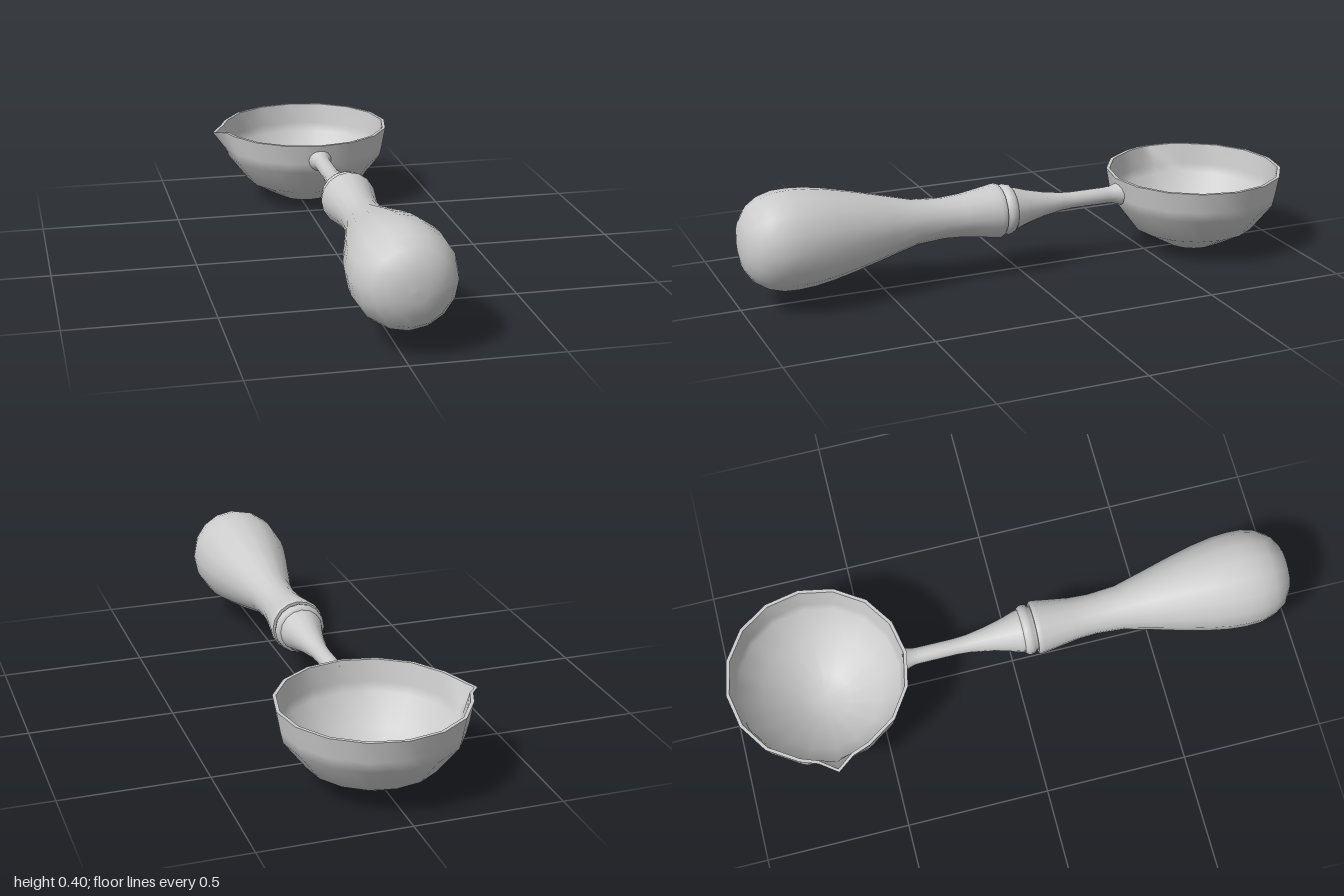
import * as THREE from 'three';
import { mergeVertices } from 'three/addons/utils/BufferGeometryUtils.js';

const material = new THREE.MeshStandardMaterial({ color: 0xcccccc });
const AXIS_X = 0.02, AXIS_Y = 0.235, BOWL_Z = -0.685;
const RIM_Y = 0.293, WALL = 0.012;

const vectors = (pairs) => pairs.map(([r, y]) => new THREE.Vector2(r, y));

// Turned part along z; profile is [radius, z], from back to front
function turned(name, profile) {
  const geometry = new THREE.LatheGeometry(vectors(profile), 16);
  geometry.rotateX(Math.PI / 2);
  const mesh = new THREE.Mesh(geometry, material);
  mesh.name = name;
  mesh.position.set(AXIS_X, AXIS_Y, 0);
  return mesh;
}

// Sixteen-sided bowl surface with a small pouring lip pulled out towards -x
function bowlSurface(name, profile) {
  const rows = profile.length;
  let geometry = new THREE.LatheGeometry(vectors(profile), 32);
  const p = geometry.attributes.position;
  for (let i = 0; i < p.count; i++) {
    const column = Math.floor(i / rows);
    // odd columns lie in the middle of a flat side
    const flat = column % 2 ? Math.cos(Math.PI / 16) : 1;
    let x = p.getX(i) * flat, y = p.getY(i);
    const z = p.getZ(i) * flat;
    const t = Math.pow(Math.max(0, (y - 0.183) / 0.11), 1.6);
    const offset = Math.abs(column - 24);
    if (offset === 0) {
      x -= 0.04 * t;
      y -= 0.013 * t;
    } else if (offset === 1) {
      x -= 0.01 * t;
    }
    p.setXYZ(i, x, y, z);
  }
  geometry.deleteAttribute('uv');
  geometry.deleteAttribute('normal');
  geometry = mergeVertices(geometry, 1e-4);
  geometry.computeVertexNormals();
  const mesh = new THREE.Mesh(geometry, material);
  mesh.name = name;
  return mesh;
}

export function createModel() {
  const model = new THREE.Group();
  model.name = 'ladle';

  // Bowl: outer wall, inner wall and the thin rim joining them
  const outer = [[0, 0.002], [0.097, 0.017], [0.22, 0.085], [0.295, 0.183], [0.303, 0.22], [0.316, RIM_Y]];
  const inner = [[0.316 - WALL, RIM_Y], [0.291, 0.22], [0.283, 0.187], [0.212, 0.095], [0.093, 0.029], [0, 0.014]];
  const bowl = new THREE.Group();
  bowl.name = 'bowl';
  bowl.position.set(AXIS_X, 0, BOWL_Z);
  bowl.add(
    bowlSurface('bowlOutside', outer),
    bowlSurface('bowlInside', inner),
    bowlSurface('bowlRim', [[0.316, RIM_Y], [0.316 - WALL, RIM_Y]])
  );
  model.add(bowl);

  // Shank: flared foot at the bowl, thin rod, then widening to the collar
  model.add(turned('shank', [
    [0.042, -0.386], [0.036, -0.37], [0.03, -0.35], [0.029, -0.33], [0.029, -0.2], [0.032, -0.155],
    [0.044, -0.085], [0.06, -0.02], [0.073, 0.02], [0.077, 0.04]
  ]));

  // Collar bead
  model.add(turned('collar', [
    [0.07, 0.034], [0.08, 0.036], [0.087, 0.044], [0.089, 0.056], [0.086, 0.068], [0.079, 0.075], [0.079, 0.084]
  ]));

  // Grip: flat shoulder behind the collar, waist, then a swollen rounded end
  model.add(turned('gripShoulder', [[0, 0.08], [0.09, 0.08]]));
  model.add(turned('grip', [
    [0.09, 0.08], [0.095, 0.086], [0.094, 0.1], [0.089, 0.13], [0.075, 0.22], [0.071, 0.29], [0.078, 0.39],
    [0.104, 0.49], [0.133, 0.6], [0.154, 0.69], [0.166, 0.76], [0.17, 0.82], [0.168, 0.87],
    [0.154, 0.92], [0.128, 0.96], [0.085, 0.988], [0.04, 0.998], [0, 1]
  ]));

  return model;
}
